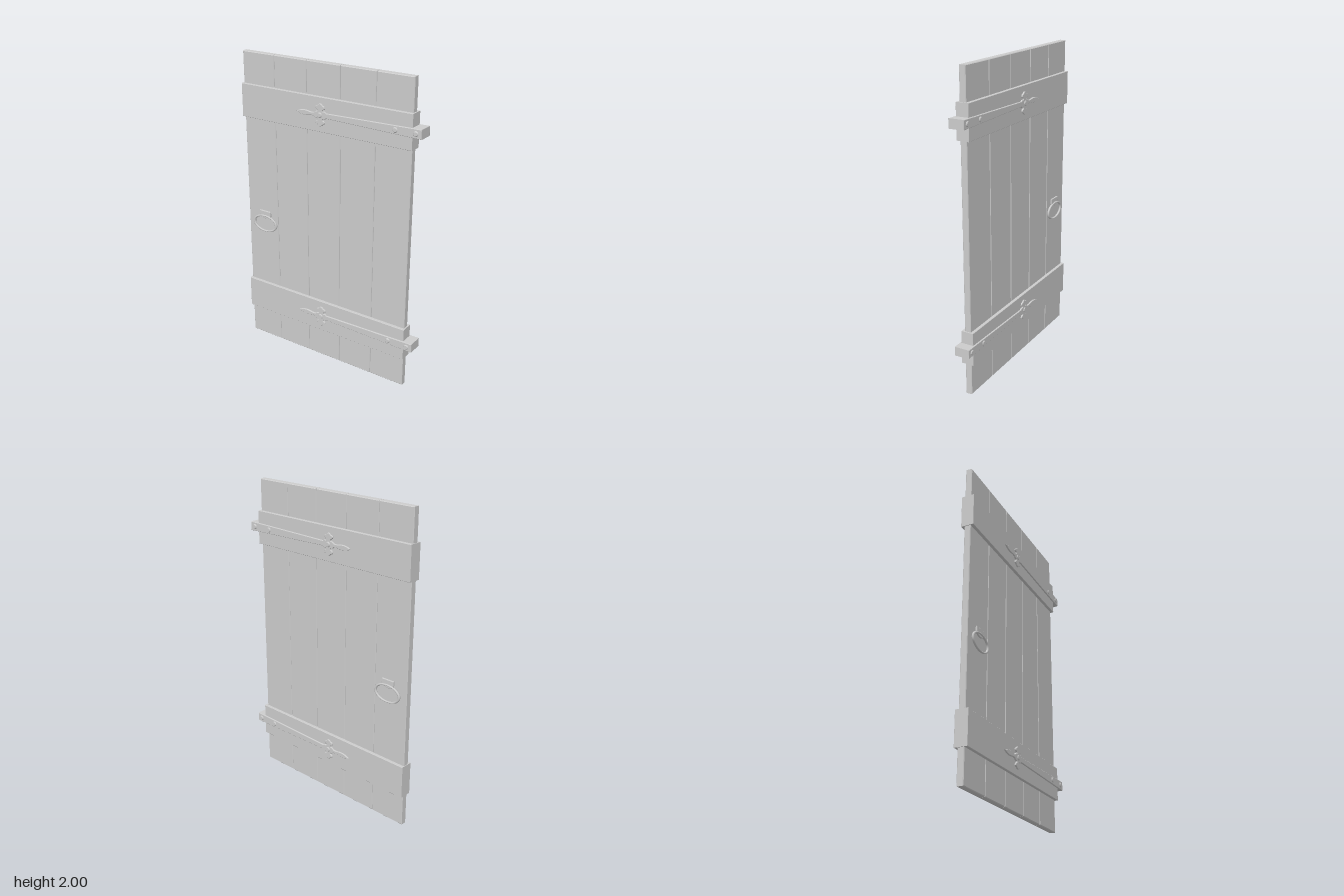
import * as THREE from 'three';

const iron = new THREE.MeshStandardMaterial({ color: 0xcccccc });
iron.name = 'plainGrey';

function add(parent, geometry, name, x = 0, y = 0, z = 0) {
  const mesh = new THREE.Mesh(geometry, iron);
  mesh.name = name;
  mesh.position.set(x, y, z);
  parent.add(mesh);
  return mesh;
}

// Box with chamfered edges, centred on the origin
function chamferedBox(w, h, d, c) {
  const a = w / 2 - c, b = h / 2 - c;
  const s = new THREE.Shape();
  s.moveTo(-a, -b).lineTo(a, -b).lineTo(a, b).lineTo(-a, b).closePath();
  const g = new THREE.ExtrudeGeometry(s, {
    depth: d - 2 * c, bevelEnabled: true, bevelSize: c, bevelThickness: c, bevelSegments: 1,
  });
  return g.translate(0, 0, -d / 2 + c);
}

// Strap outline: tapered bar, clover cross and spear tip
function strapShape() {
  const s = new THREE.Shape();
  s.moveTo(0.638, -0.026).lineTo(0.638, 0.026).lineTo(0.0, 0.013);
  s.quadraticCurveTo(-0.008, 0.026, -0.022, 0.018);
  s.quadraticCurveTo(-0.03, 0.025, -0.025, 0.034);
  s.bezierCurveTo(-0.002, 0.04, -0.01, 0.055, -0.025, 0.056);
  s.quadraticCurveTo(-0.042, 0.078, -0.058, 0.056);
  s.bezierCurveTo(-0.077, 0.055, -0.079, 0.04, -0.058, 0.034);
  s.quadraticCurveTo(-0.052, 0.025, -0.06, 0.018);
  s.quadraticCurveTo(-0.074, 0.022, -0.083, 0.009);
  s.quadraticCurveTo(-0.105, 0.004, -0.13, 0.011);
  s.quadraticCurveTo(-0.17, 0.018, -0.212, 0);
  // mirrored lower half
  s.quadraticCurveTo(-0.17, -0.018, -0.13, -0.011);
  s.quadraticCurveTo(-0.105, -0.004, -0.083, -0.009);
  s.quadraticCurveTo(-0.074, -0.022, -0.06, -0.018);
  s.quadraticCurveTo(-0.052, -0.025, -0.058, -0.034);
  s.bezierCurveTo(-0.079, -0.04, -0.077, -0.055, -0.058, -0.056);
  s.quadraticCurveTo(-0.042, -0.078, -0.025, -0.056);
  s.bezierCurveTo(-0.01, -0.055, -0.002, -0.04, -0.025, -0.034);
  s.quadraticCurveTo(-0.03, -0.025, -0.022, -0.018);
  s.quadraticCurveTo(-0.008, -0.026, 0.0, -0.013);
  s.closePath();
  return s;
}

export function createModel() {
  const door = new THREE.Group();
  door.name = 'plankDoor';

  // Five upright planks with chamfered joints
  const left = -0.645, pitch = 0.2432;
  for (let i = 0; i < 5; i++) {
    add(door, chamferedBox(pitch - 0.001, 2, 0.042, 0.004), 'plank' + (i + 1), left + pitch * (i + 0.5), 1, 0);
  }

  // Cross battens, each with a hinge strap wrapped over both faces
  const strap = new THREE.ExtrudeGeometry(strapShape(), {
    depth: 0.09, bevelEnabled: true, bevelSize: 0.003, bevelThickness: 0.005, bevelSegments: 2, curveSegments: 5,
  }).translate(0, 0, -0.045);
  const rivet = new THREE.CylinderGeometry(0.012, 0.018, 0.006, 8).rotateX(Math.PI / 2);
  for (const [level, batY, hingeY] of [['upper', 1.692, 1.692], ['lower', 0.315, 0.315]]) {
    add(door, chamferedBox(1.228, 0.214, 0.082, 0.002), level + 'Batten', -0.035, batY, 0);
    const hinge = new THREE.Group();
    hinge.name = level + 'Hinge';
    hinge.position.y = hingeY;
    door.add(hinge);
    add(hinge, strap, 'strap');
    for (const x of [-0.042, 0.473, 0.605]) {
      for (const side of [1, -1]) {
        const r = add(hinge, rivet, 'rivet', x, 0, side * 0.0525);
        if (side < 0) r.rotation.y = Math.PI;
      }
    }
  }

  // Oval ring handle and its staple on each face
  for (const side of [1, -1]) {
    const handle = new THREE.Group();
    handle.name = side > 0 ? 'frontHandle' : 'backHandle';
    handle.position.set(-0.505, 0, 0);
    if (side < 0) handle.rotation.y = Math.PI;
    door.add(handle);
    const ring = add(handle, new THREE.TorusGeometry(0.09, 0.009, 8, 40), 'ring', 0, 0.867, 0.03);
    ring.scale.set(1, 0.6, 0.85);
    const s = new THREE.Shape();
    s.moveTo(-0.045, 0.955).lineTo(-0.045, 0.928).quadraticCurveTo(-0.045, 0.915, -0.035, 0.91);
    s.quadraticCurveTo(0, 0.892, 0.035, 0.91);
    s.quadraticCurveTo(0.045, 0.915, 0.045, 0.928).lineTo(0.045, 0.955).closePath();
    add(handle, new THREE.ExtrudeGeometry(s, {
      depth: 0.009, bevelEnabled: true, bevelSize: 0.003, bevelOffset: -0.003, bevelThickness: 0.003, bevelSegments: 2, curveSegments: 6,
    }), 'staple', 0, 0, 0.018);
  }
  return door;
}
